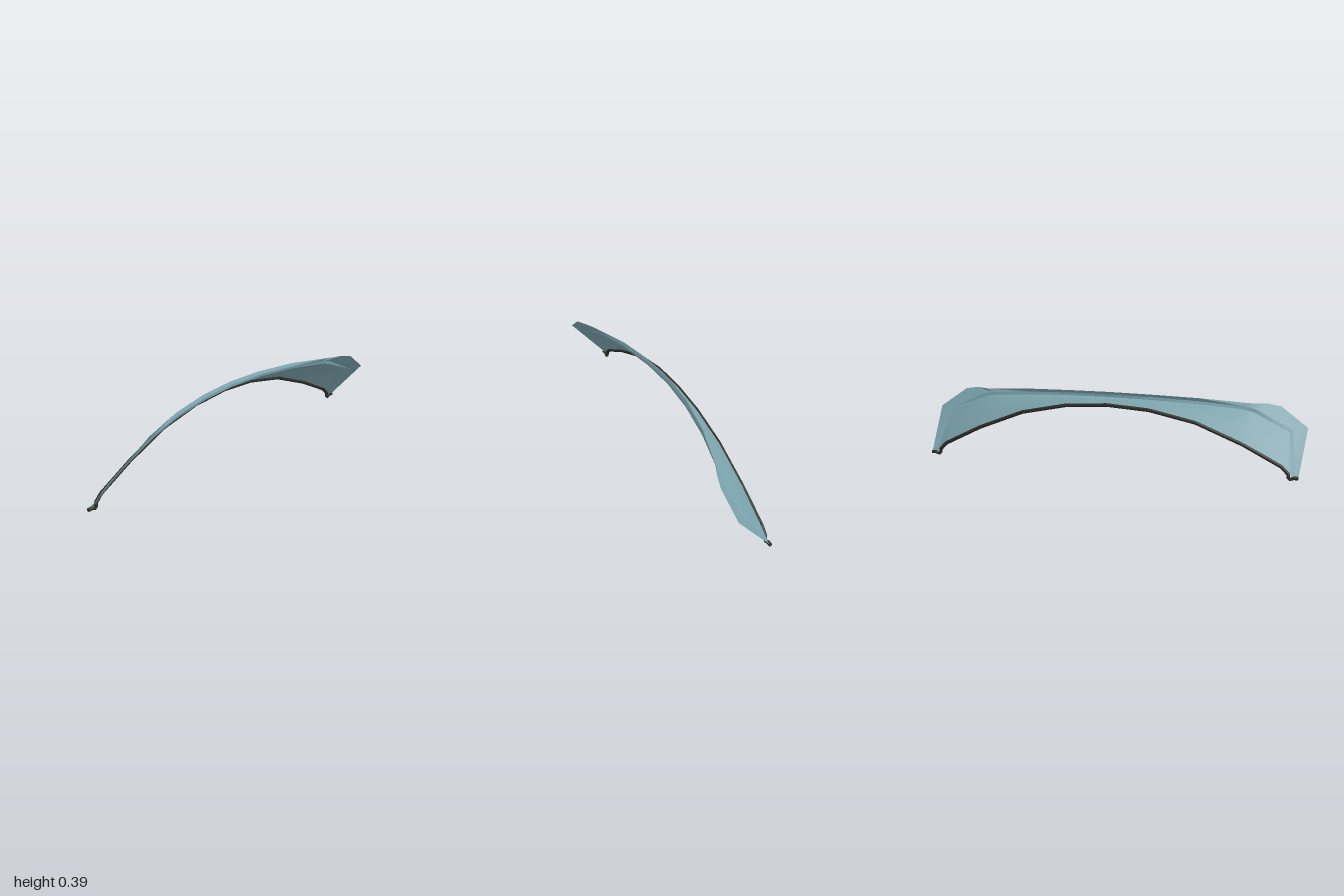
import * as THREE from 'three';
import { toCreasedNormals } from 'three/addons/utils/BufferGeometryUtils.js';

const V = (x, y, z) => new THREE.Vector3(x, y, z);

// Half of the visor from its left end to the middle.
// Each station: trim edge, inner seam, outer seam, free edge.
const stations = [
  [V(0.95, 0.025, -0.1), V(0.953, 0.025, -0.1), V(0.965, 0.022, -0.1), V(0.98, 0.02, -0.1)],
  [V(0.90, 0.07, -0.1), V(0.915, 0.22, 0.04), V(0.935, 0.226, 0.052), V(1.0, 0.235, 0.09)],
  [V(0.70, 0.175, -0.1), V(0.73, 0.31, 0.045), V(0.75, 0.32, 0.05), V(0.86, 0.335, 0.108)],
  [V(0.68, 0.183, -0.1), V(0.70, 0.318, 0.041), V(0.72, 0.33, 0.047), V(0.79, 0.35, 0.09)],
  [V(0.65, 0.196, -0.1), V(0.66, 0.325, 0.035), V(0.68, 0.337, 0.042), V(0.72, 0.352, 0.058)],
  [V(0.46, 0.272, -0.1), V(0.455, 0.346, -0.005), V(0.455, 0.36, 0.0), V(0.46, 0.377, -0.006)],
  [V(0.22, 0.322, -0.1), V(0.22, 0.36, -0.034), V(0.22, 0.374, -0.032), V(0.22, 0.389, -0.042)],
  [V(0, 0.336, -0.1), V(0, 0.365, -0.043), V(0, 0.378, -0.044), V(0, 0.393, -0.052)],
];

const flip = (p) => V(-p.x, p.y, p.z);
const mirrored = (half, fn) => [...half, ...half.slice(0, -1).reverse().map(fn)];

// Sheet through a list of equally long cross-sections
function sheet(name, sections, material) {
  const n = sections[0].length;
  const index = [];
  for (let i = 0; i < sections.length - 1; i++) {
    for (let j = 0; j < n - 1; j++) {
      const a = i * n + j, b = a + n;
      index.push(a, a + 1, b, b, a + 1, b + 1);
    }
  }
  const geometry = new THREE.BufferGeometry().setFromPoints(sections.flat());
  geometry.setIndex(index);
  const mesh = new THREE.Mesh(toCreasedNormals(geometry, 0.45), material);
  mesh.name = name;
  return mesh;
}

export function createModel() {
  const model = new THREE.Group();
  model.name = 'curvedVisor';
  const glass = new THREE.MeshStandardMaterial({ color: 0x7ba3ac, side: THREE.DoubleSide });
  glass.name = 'tintedGlass';
  const rubber = new THREE.MeshStandardMaterial({ color: 0x2d2d28 });
  rubber.name = 'darkRubber';

  const full = mirrored(stations, (s) => s.map(flip));

  // Gently bulging main pane
  model.add(sheet('mainPane', full.map(([t, s]) => {
    const mid = t.clone().lerp(s, 0.5);
    mid.y += 0.16 * t.distanceTo(s) * (1 - Math.abs(mid.x) * 0.8);
    return [t, mid, s];
  }), glass));

  // Narrow step round the pane, then the flared border
  model.add(sheet('paneStep', full.map((s) => [s[1], s[2]]), glass));
  model.add(sheet('flaredBorder', full.map((s) => [s[2], s[3]]), glass));

  // Rubber trim with a small outward hook at each end
  const trimHalf = [
    V(0.98, 0.02, -0.099), V(0.955, 0.022, -0.099), V(0.945, 0.012, -0.099), V(0.932, 0.016, -0.099),
    V(0.93, 0.04, -0.099), V(0.895, 0.075, -0.099), V(0.70, 0.174, -0.099),
    V(0.46, 0.27, -0.099), V(0.22, 0.32, -0.099), V(0, 0.334, -0.099),
  ];
  const trimPoints = mirrored(trimHalf, flip);
  const path = new THREE.CurvePath();
  for (let i = 0; i < trimPoints.length - 1; i++) {
    path.add(new THREE.LineCurve3(trimPoints[i], trimPoints[i + 1]));
  }
  const trim = new THREE.Mesh(new THREE.TubeGeometry(path, 200, 0.0095, 8), rubber);
  trim.name = 'rubberTrim';
  model.add(trim);

  // Caps that close the trim
  for (const side of [1, -1]) {
    const cap = new THREE.Mesh(new THREE.CircleGeometry(0.0095, 8), rubber);
    cap.position.set(side * 0.98, 0.02, -0.099);
    cap.rotation.y = side * Math.PI / 2;
    cap.name = side > 0 ? 'leftTrimCap' : 'rightTrimCap';
    model.add(cap);
  }
  return model;
}
